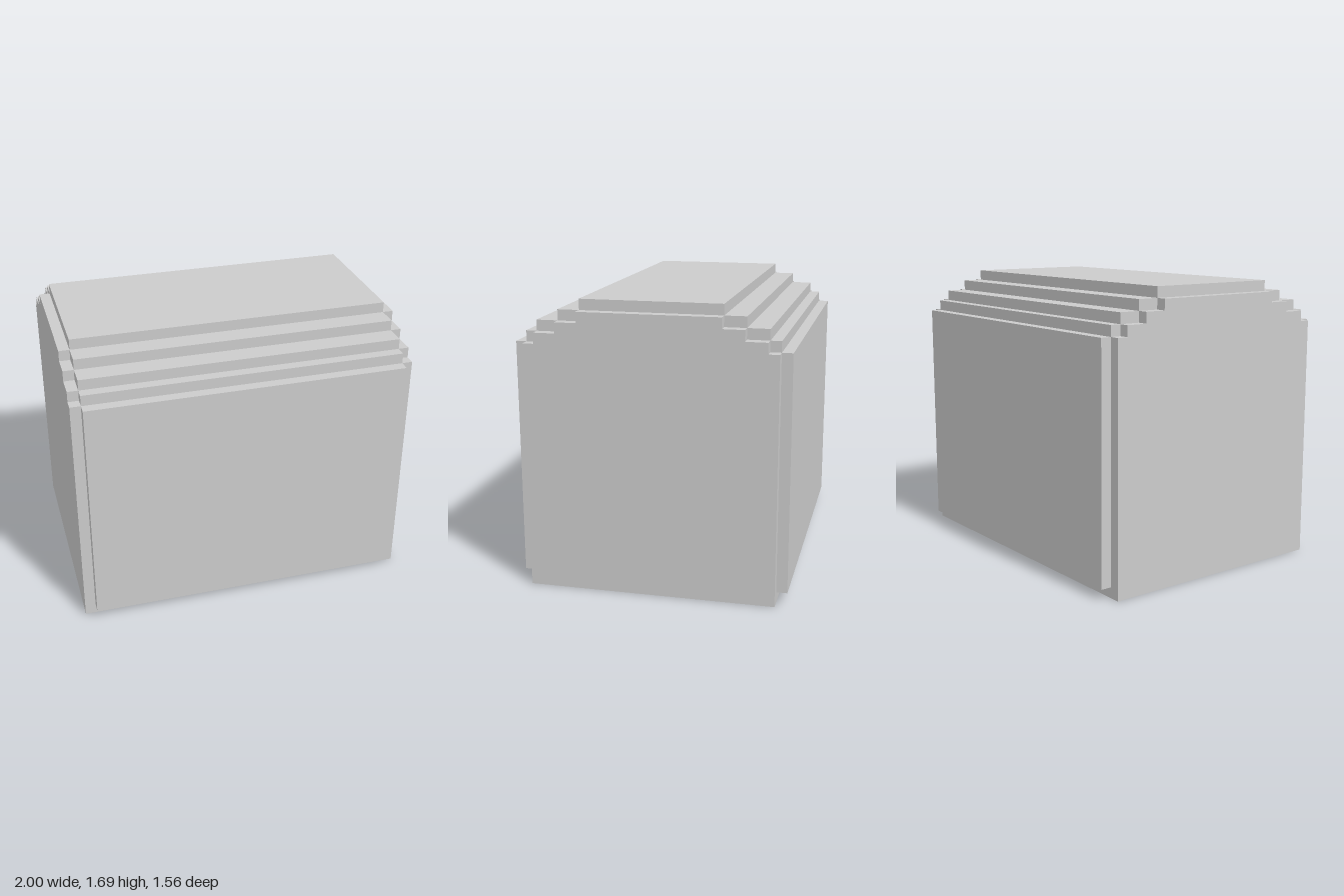
import * as THREE from 'three';

const material = new THREE.MeshStandardMaterial({ color: 0xcccccc, flatShading: true });

// Half-depths of the stepped arch, widest first; each step rises by one unit.
const UNIT = 0.0625;
const SHOULDER = 1.4375;
const HALF_DEPTHS = [0.78125, 0.71875, 0.65625, 0.53125, 0.40625];

// Extrudes a symmetric stepped profile sideways, centred on x = 0.
function steppedBlock(name, halfDepths, bottom, halfWidth) {
  const side = [[halfDepths[0], bottom]];
  halfDepths.forEach((z, i) => {
    const top = SHOULDER + i * UNIT;
    if (i > 0) side.push([z, top - UNIT]);
    side.push([z, top]);
  });
  const mirrored = side.map(([z, y]) => [-z, y]).reverse();
  const shape = new THREE.Shape([...side, ...mirrored].map(([z, y]) => new THREE.Vector2(z, y)));
  const geometry = new THREE.ExtrudeGeometry(shape, { depth: halfWidth * 2, bevelEnabled: false });
  geometry.translate(0, 0, -halfWidth);
  geometry.rotateY(Math.PI / 2);
  const mesh = new THREE.Mesh(geometry, material);
  mesh.name = name;
  return mesh;
}

export function createModel() {
  const model = new THREE.Group();
  model.name = 'steppedChest';
  // Full-width body: gives the base and both end walls.
  model.add(steppedBlock('body', HALF_DEPTHS.slice(1), 0, 1));
  // Outer cladding: front and back panels joined by the stepped lid, one unit proud.
  model.add(steppedBlock('cladding', HALF_DEPTHS, UNIT, 1 - UNIT));
  return model;
}
